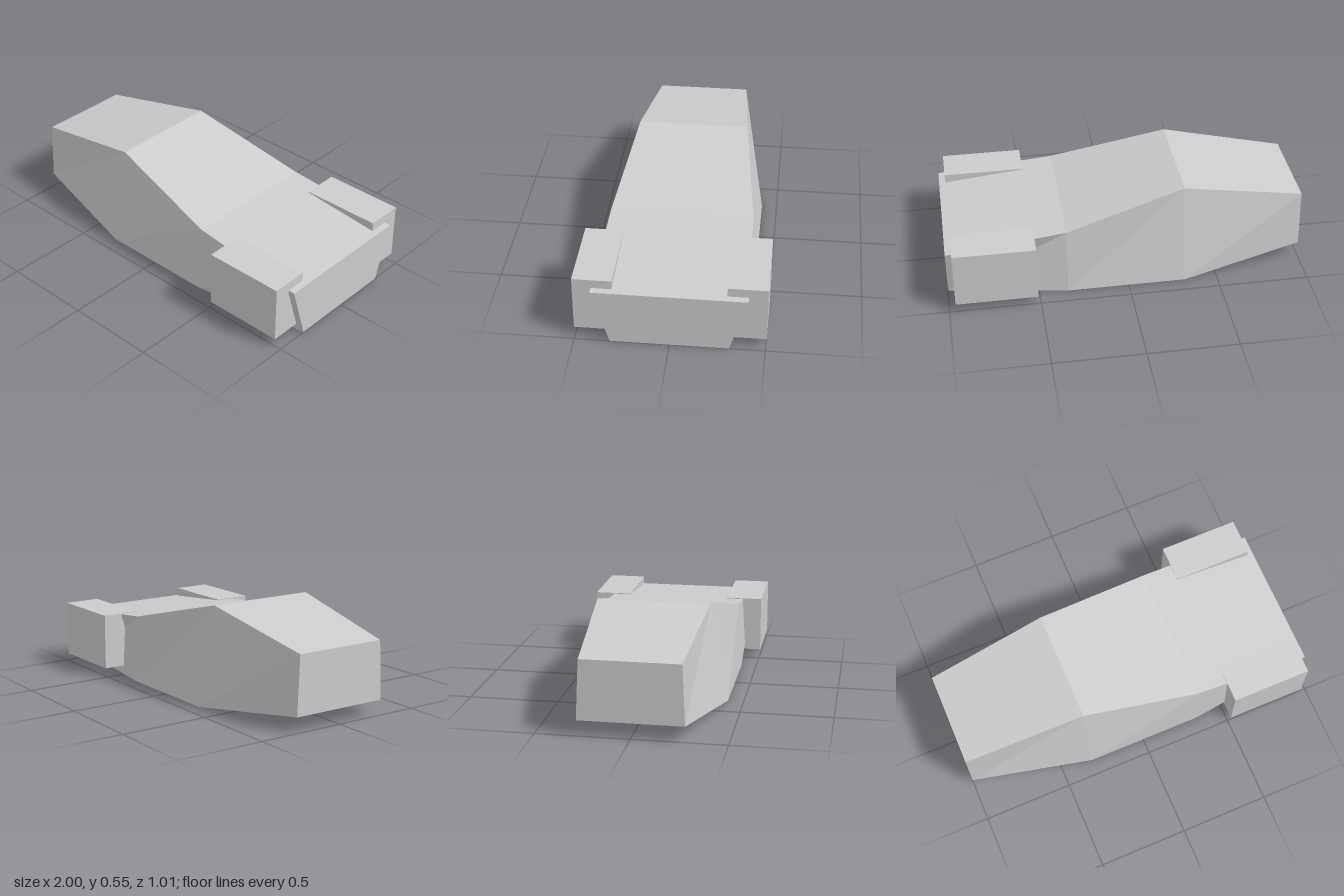
import * as THREE from 'three';

// Lofts four-cornered sections along x: [x, bottomY, topY, bottomHalfWidth, topHalfWidth]
function loftHull(sections) {
  const rings = sections.map(([x, y0, y1, b, t]) => [
    [x, y0, -b], [x, y0, b], [x, y1, t], [x, y1, -t],
  ]);
  const points = [];
  const tri = (...corners) => corners.forEach((c) => points.push(...c));
  for (let i = 0; i < rings.length - 1; i++) {
    const a = rings[i], b = rings[i + 1];
    for (let k = 0; k < 4; k++) {
      const n = (k + 1) % 4;
      tri(a[k], b[k], b[n]);
      tri(a[k], b[n], a[n]);
    }
  }
  // End caps
  const s = rings[0], e = rings[rings.length - 1];
  tri(s[0], s[1], s[2]);
  tri(s[0], s[2], s[3]);
  tri(e[0], e[2], e[1]);
  tri(e[0], e[3], e[2]);
  const geometry = new THREE.BufferGeometry();
  geometry.setAttribute('position', new THREE.Float32BufferAttribute(points, 3));
  geometry.computeVertexNormals();
  return geometry;
}

export function createModel() {
  const model = new THREE.Group();
  model.name = 'craft';
  const grey = new THREE.MeshStandardMaterial({ color: 0xcccccc });
  grey.name = 'light grey';

  // Faceted hull from the narrow nose to the wide tail
  const hull = new THREE.Mesh(loftHull([
    [-1, 0.085, 0.41, 0.28, 0.265],
    [-0.32, 0, 0.547, 0.413, 0.312],
    [0.34, 0, 0.378, 0.413, 0.39],
    [1, 0, 0.312, 0.312, 0.408],
  ]), grey);
  hull.name = 'hull';
  model.add(hull);

  // Box pods on both sides of the tail
  for (const side of [1, -1]) {
    const pod = new THREE.Mesh(new THREE.BoxGeometry(0.45, 0.315, 0.208), grey);
    pod.position.set(0.74, 0.2075, side * 0.401);
    pod.name = side > 0 ? 'frontPod' : 'backPod';
    model.add(pod);
  }
  return model;
}
